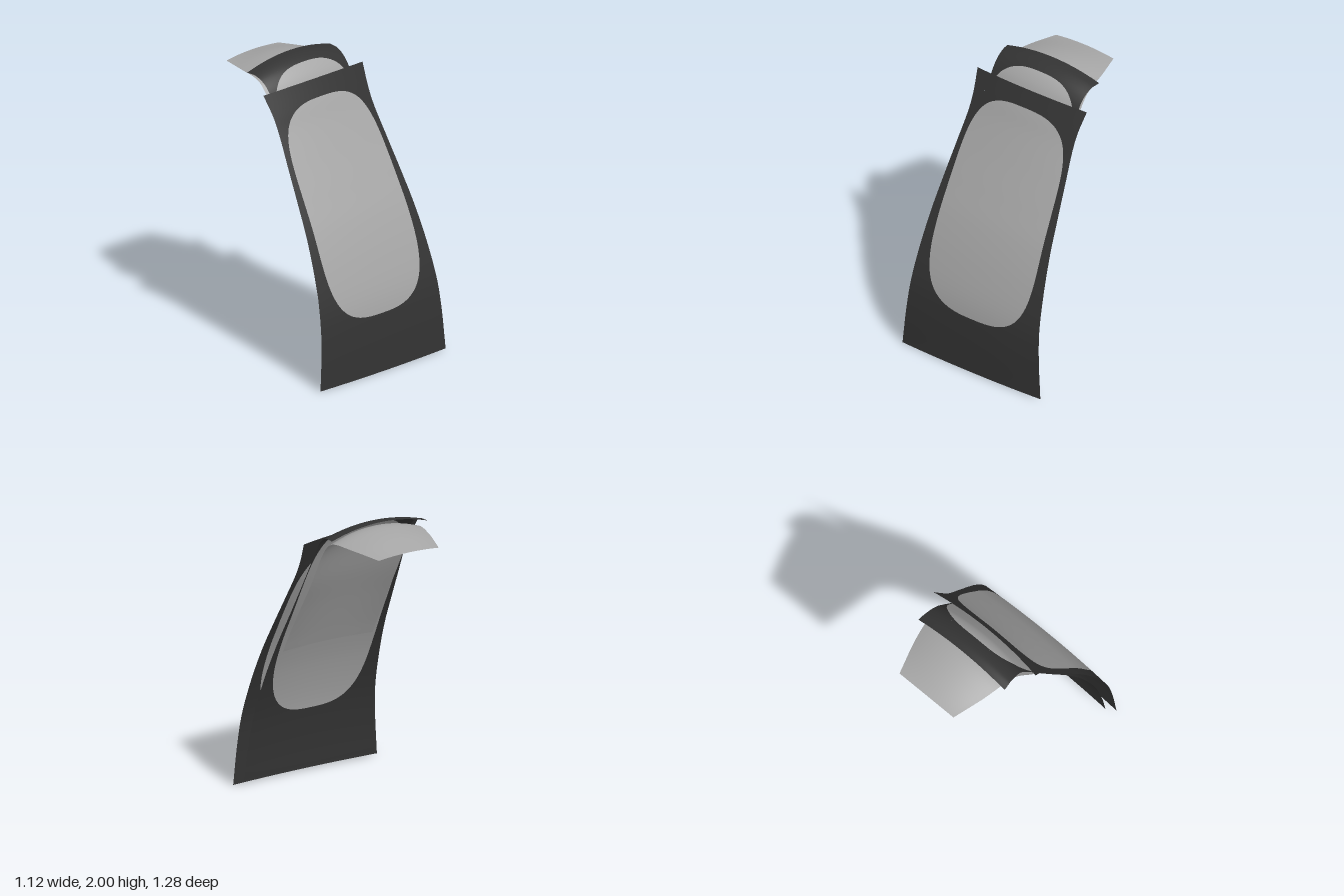
import * as THREE from 'three';

const dark = new THREE.MeshStandardMaterial({ color: 0x333333, side: THREE.DoubleSide });
dark.name = 'charcoal';
const grey = new THREE.MeshStandardMaterial({ color: 0xa6a6a6, side: THREE.DoubleSide });
grey.name = 'grey';

// Bowed sheet from keys [z, y, halfWidth, bow], swept from the bottom edge upwards.
// Returns edge(u) = half width and point(u, x) on the surface.
function makeSheet(keys) {
  const spine = new THREE.CatmullRomCurve3(keys.map(([z, y, w]) => new THREE.Vector3(w, y, z)));
  const bows = new THREE.CatmullRomCurve3(keys.map((k, i) => new THREE.Vector3(k[3], i, 0)));
  const at = (u) => spine.getPoint(spine.getUtoTmapping(u));
  return {
    edge: (u) => at(u).x,
    point(u, x) {
      const t = spine.getUtoTmapping(u);
      const p = spine.getPoint(t);
      const d = spine.getTangent(t);
      const len = Math.hypot(d.y, d.z);
      const drop = bows.getPoint(t).x * (x / p.x) ** 2;
      return [x, p.y + (drop * d.z) / len, p.z - (drop * d.y) / len];
    },
  };
}

// Strip of a sheet between u0 and u1, bounded sideways by left(u) and right(u).
function strip(name, sheet, material, u0, u1, left, right, rows = 40, cols = 16) {
  const positions = [];
  const index = [];
  for (let i = 0; i <= rows; i++) {
    // rows crowd towards both ends so that rounded corners stay smooth
    const u = u0 + ((u1 - u0) * (1 - Math.cos((Math.PI * i) / rows))) / 2;
    for (let j = 0; j <= cols; j++) {
      positions.push(...sheet.point(u, THREE.MathUtils.lerp(left(u), right(u), j / cols)));
      if (i < rows && j < cols) {
        const a = i * (cols + 1) + j;
        const b = a + cols + 1;
        index.push(a, a + 1, b + 1, a, b + 1, b);
      }
    }
  }
  const geometry = new THREE.BufferGeometry();
  geometry.setAttribute('position', new THREE.Float32BufferAttribute(positions, 3));
  geometry.setIndex(index);
  geometry.computeVertexNormals();
  const mesh = new THREE.Mesh(geometry, material);
  mesh.name = name;
  return mesh;
}

// Dark sheet with a rounded grey panel set into it.
function framedSheet(name, keys, u0, u1, lowWidth, highWidth) {
  const sheet = makeSheet(keys);
  const panel = (u) => {
    const f = THREE.MathUtils.clamp((u - u0) / (u1 - u0), 0, 1);
    const m = Math.abs(2 * f - 1);
    const round = Math.cbrt(Math.max(0, 1 - m ** (f < 0.5 ? 4 : 5)));
    return Math.max(0.02, THREE.MathUtils.lerp(lowWidth, highWidth, f) * round);
  };
  const edge = sheet.edge;
  const group = new THREE.Group();
  group.name = name;
  group.add(
    strip('lowerFrame', sheet, dark, 0, u0, (u) => -edge(u), edge, 16),
    strip('upperFrame', sheet, dark, u1, 1, (u) => -edge(u), edge, 16),
    strip('leftFrame', sheet, dark, u0, u1, panel, edge, 90, 10),
    strip('rightFrame', sheet, dark, u0, u1, (u) => -edge(u), (u) => -panel(u), 90, 10),
    strip('panel', sheet, grey, u0, u1, (u) => -panel(u), panel, 90),
  );
  return group;
}

export function createModel() {
  const model = new THREE.Group();
  model.name = 'layeredShield';

  // front sheet
  model.add(framedSheet('frontSheet', [
    [0.637, 0, 0.562, 0.016], [0.622, 0.3, 0.538, 0.016], [0.595, 0.5, 0.522, 0.017],
    [0.52, 0.75, 0.502, 0.018], [0.42, 1.0, 0.48, 0.02], [0.32, 1.2, 0.462, 0.022],
    [0.2, 1.43, 0.44, 0.025], [0.1, 1.63, 0.422, 0.03], [0.05, 1.74, 0.424, 0.034],
    [-0.02, 1.88, 0.445, 0.038],
  ], 0.199, 0.9385, 0.435, 0.39));

  // rear sheet, curling over at the top
  model.add(framedSheet('rearSheet', [
    [0.585, 0.04, 0.51, 0.014], [0.57, 0.25, 0.49, 0.014], [0.53, 0.5, 0.47, 0.016],
    [0.44, 0.8, 0.44, 0.018], [0.32, 1.08, 0.415, 0.02], [0.2, 1.32, 0.395, 0.023],
    [0.08, 1.57, 0.375, 0.028], [-0.03, 1.81, 0.358, 0.036], [-0.08, 1.9, 0.358, 0.042],
    [-0.14, 1.96, 0.363, 0.05], [-0.21, 1.993, 0.368, 0.056], [-0.28, 2.0, 0.375, 0.06],
  ], 0.19, 0.934, 0.39, 0.36));

  // lining behind the rear sheet, ending in a tapered flap
  const flap = makeSheet([
    [0.36, 0.98, 0.35, 0.016], [0.3, 1.1, 0.35, 0.02], [0.185, 1.32, 0.345, 0.03],
    [0.06, 1.55, 0.34, 0.04], [-0.06, 1.79, 0.34, 0.05], [-0.11, 1.87, 0.34, 0.055],
    [-0.16, 1.925, 0.338, 0.06], [-0.22, 1.96, 0.335, 0.065], [-0.28, 1.97, 0.33, 0.065],
    [-0.43, 1.953, 0.3, 0.052], [-0.64, 1.9, 0.235, 0.015],
  ]);
  model.add(strip('rearFlap', flap, grey, 0, 1, (u) => -flap.edge(u), flap.edge, 60));

  return model;
}
